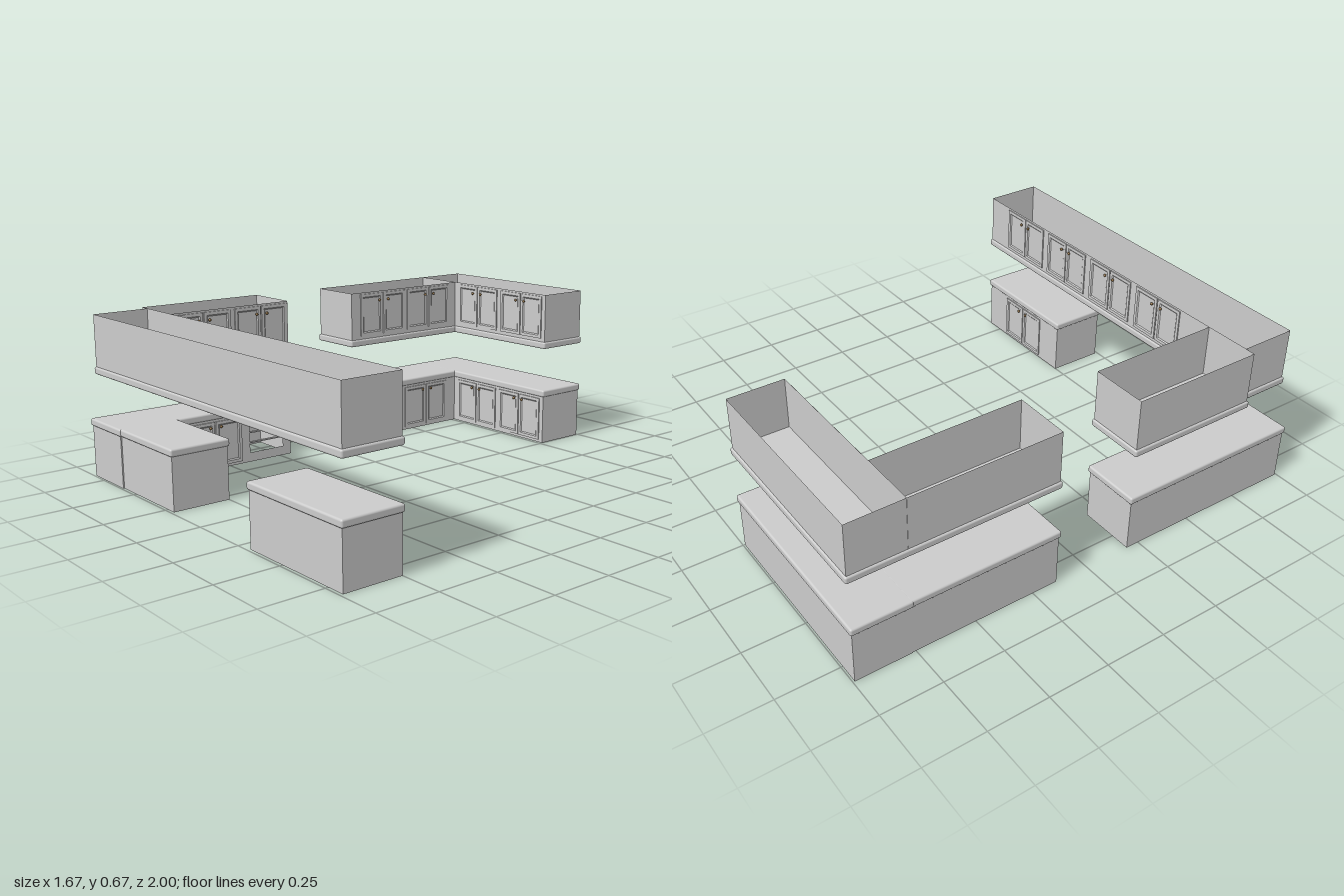
import * as THREE from 'three';
import { RoundedBoxGeometry } from 'three/addons/geometries/RoundedBoxGeometry.js';

const cabinet = new THREE.MeshStandardMaterial({ color: 0xcccccc, side: THREE.DoubleSide });
cabinet.name = 'cabinetGrey';
const brass = new THREE.MeshStandardMaterial({ color: 0x8a6a3c });
brass.name = 'knobBrown';

const OVERHANG = 0.007;
// Rotation that turns local +z to each side
const TURN = { front: 0, back: Math.PI, left: Math.PI / 2, right: -Math.PI / 2 };

function mesh(name, geometry, material, parent, x = 0, y = 0, z = 0) {
  const m = new THREE.Mesh(geometry, material);
  m.name = name;
  m.position.set(x, y, z);
  parent.add(m);
  return m;
}

function rectPath(PathType, x0, x1, y0, y1) {
  const p = new PathType();
  p.moveTo(x0, y0);
  p.lineTo(x1, y0);
  p.lineTo(x1, y1);
  p.lineTo(x0, y1);
  p.closePath();
  return p;
}

// Panelled door: nested rectangles step out to the frame, then slope in to the panel
function doorGeometry(w, h) {
  const loops = [[0, 0], [0, 0.005], [0.013, 0.005], [0.018, 0.001]];
  const pos = [], index = [];
  const corners = [[-1, -1], [1, -1], [1, 1], [-1, 1]];
  const corner = ([inset, z], c) => [c[0] * (w / 2 - inset), c[1] * (h / 2 - inset), z];
  const quad = (a, b, c, d) => {
    const n = pos.length / 3;
    pos.push(...a, ...b, ...c, ...d);
    index.push(n, n + 1, n + 2, n, n + 2, n + 3);
  };
  for (let l = 0; l < loops.length - 1; l++) {
    for (let i = 0; i < 4; i++) {
      const a = corners[i], b = corners[(i + 1) % 4];
      quad(corner(loops[l], a), corner(loops[l], b), corner(loops[l + 1], b), corner(loops[l + 1], a));
    }
  }
  quad(...corners.map((c) => corner(loops[loops.length - 1], c)));
  const g = new THREE.BufferGeometry();
  g.setAttribute('position', new THREE.Float32BufferAttribute(pos, 3));
  g.setIndex(index);
  g.computeVertexNormals();
  return g;
}

// Two doors with knobs near the middle
function doorPair(parent, side, plane, centre, upper) {
  const g = new THREE.Group();
  g.name = upper ? 'upperDoorPair' : 'lowerDoorPair';
  const [y0, y1, knobY] = upper ? [0.475, 0.662, 0.63] : [0.012, 0.202, 0.18];
  for (const s of [-1, 1]) {
    mesh('door', doorGeometry(0.125, y1 - y0), cabinet, g, s * 0.065, (y0 + y1) / 2, 0.0005);
    mesh('knob', new THREE.SphereGeometry(0.006, 12, 8), brass, g, s * 0.025, knobY, 0.011);
  }
  g.rotation.y = TURN[side];
  if (side === 'left') g.position.set(plane, 0, centre);
  else g.position.set(centre, 0, plane);
  parent.add(g);
}

// Four thin walls; a rack opening may be cut in the +x wall at rackZ
function walls(parent, x0, x1, z0, z1, y0, y1, rackZ) {
  const cx = (x0 + x1) / 2, cz = (z0 + z1) / 2;
  const places = { front: [cx, z1], back: [cx, z0], left: [x1, cz], right: [x0, cz] };
  for (const side of Object.keys(TURN)) {
    const half = (side === 'front' || side === 'back' ? x1 - x0 : z1 - z0) / 2;
    const shape = rectPath(THREE.Shape, -half, half, y0, y1);
    const wall = new THREE.Group();
    wall.name = side + 'Wall';
    if (side === 'left' && rackZ !== undefined) {
      const c = cz - rackZ;
      shape.holes.push(rectPath(THREE.Path, c - 0.083, c + 0.083, 0.04, 0.17));
      for (const y of [0.083, 0.127]) {
        mesh('rackSlat', new THREE.BoxGeometry(0.166, 0.005, 0.014), cabinet, wall, c, y, -0.007);
      }
    }
    mesh('panel', new THREE.ShapeGeometry(shape), cabinet, wall);
    wall.rotation.y = TURN[side];
    wall.position.set(places[side][0], 0, places[side][1]);
    parent.add(wall);
  }
}

function slab(parent, name, x0, x1, z0, z1, y0, y1) {
  mesh(name, new RoundedBoxGeometry(x1 - x0, y1 - y0, z1 - z0, 2, 0.008), cabinet, parent,
    (x0 + x1) / 2, (y0 + y1) / 2, (z0 + z1) / 2);
}

// Unit footprint is that of its slab; walls sit slightly inside it
function unit(root, name, upper, [x0, x1, z0, z1], rackZ) {
  const g = new THREE.Group();
  g.name = name;
  const o = OVERHANG;
  if (upper) {
    walls(g, x0 + o, x1 - o, z0 + o, z1 - o, 0.45, 0.67);
    slab(g, 'baseLedge', x0, x1, z0, z1, 0.43, 0.46);
  } else {
    walls(g, x0 + o, x1 - o, z0 + o, z1 - o, 0, 0.22, rackZ);
    slab(g, 'countertop', x0, x1, z0, z1, 0.212, 0.242);
  }
  root.add(g);
  return g;
}

export function createModel() {
  const root = new THREE.Group();
  root.name = 'kitchenCabinets';

  // Back corner, lower
  const backRun = unit(root, 'backLowerRun', false, [-0.838, 0.005, -1, -0.757]);
  for (const x of [-0.43, -0.15]) doorPair(backRun, 'front', -0.764, x, false);
  const backLeg = unit(root, 'backLowerLeg', false, [-0.836, -0.58, -0.77, -0.135], -0.297);
  doorPair(backLeg, 'left', -0.587, -0.577, false);

  // Back corner, upper
  const backUpper = unit(root, 'backUpperRun', true, [-0.828, 0.005, -1, -0.757]);
  for (const x of [-0.43, -0.15]) doorPair(backUpper, 'front', -0.764, x, true);
  const backUpperLeg = unit(root, 'backUpperLeg', true, [-0.828, -0.58, -0.77, -0.135]);
  for (const z of [-0.59, -0.318]) doorPair(backUpperLeg, 'left', -0.587, z, true);

  // Front corner, lower
  const frontLeg = unit(root, 'frontLowerLeg', false, [-0.84, -0.59, 0.187, 1], 0.318);
  doorPair(frontLeg, 'left', -0.597, 0.57, false);
  const frontRun = unit(root, 'frontLowerRun', false, [-0.604, -0.2, 0.742, 0.995]);
  doorPair(frontRun, 'back', 0.749, -0.395, false);

  // Separate lower unit beyond the cooker gap
  const island = unit(root, 'frontLowerEnd', false, [0.303, 0.832, 0.742, 0.995]);
  doorPair(island, 'back', 0.749, 0.565, false);

  // Front corner, upper
  const frontUpper = unit(root, 'frontUpperRun', true, [-0.797, 0.832, 0.742, 0.992]);
  for (let i = 0; i < 4; i++) doorPair(frontUpper, 'back', 0.749, 0.565 - i * 0.292, true);
  const frontUpperLeg = unit(root, 'frontUpperLeg', true, [-0.84, -0.59, 0.187, 0.755]);
  for (const z of [0.605, 0.33]) doorPair(frontUpperLeg, 'left', -0.597, z, true);

  return root;
}
